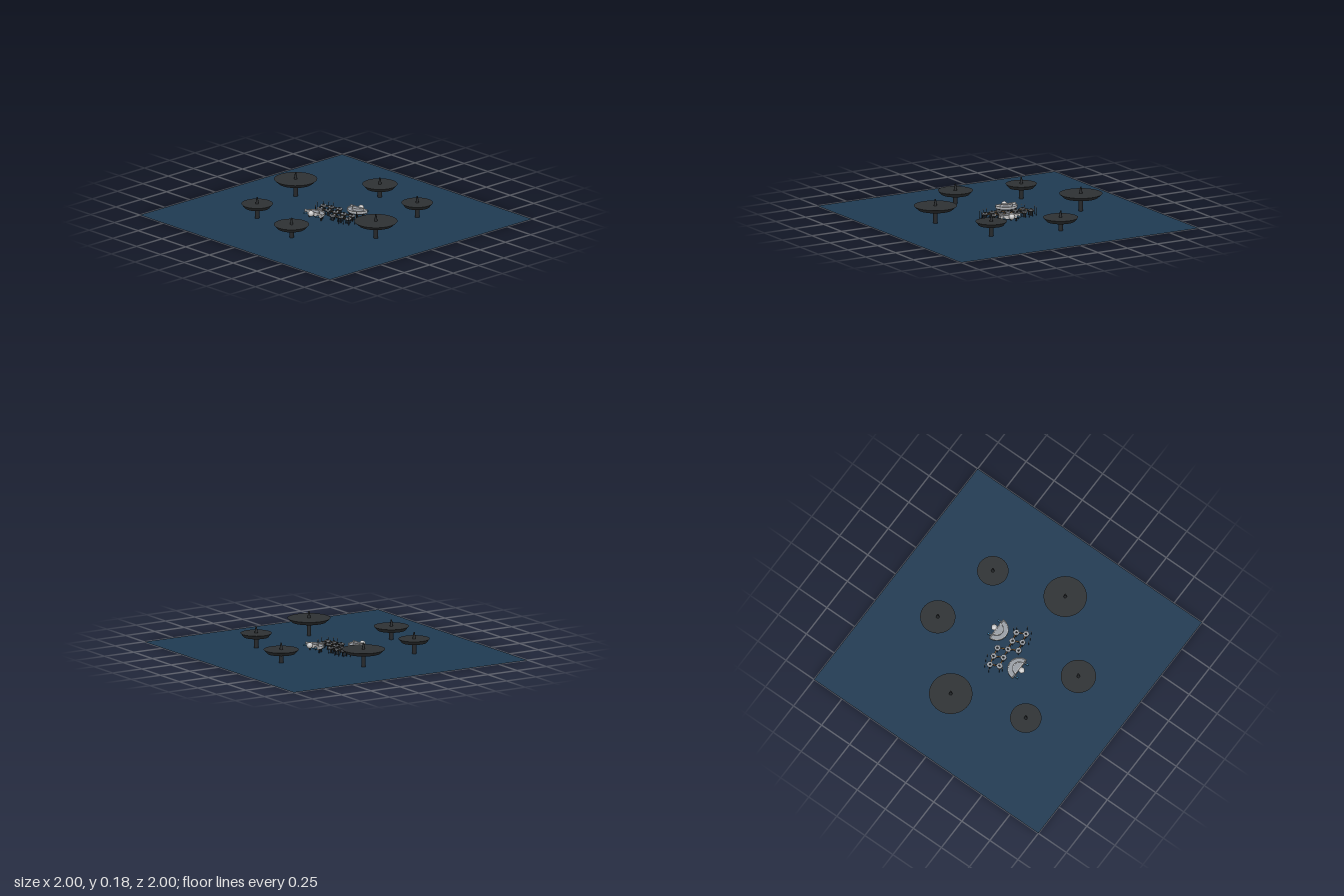
import * as THREE from 'three';

const mat = (color, side = THREE.FrontSide) => new THREE.MeshStandardMaterial({ color, side });
const M = {
  water: mat(0x1f3a52, THREE.DoubleSide),
  dark: mat(0x2e3133),
  post: mat(0x24272a),
  deck: mat(0x9a9fa6),
  pale: mat(0xcccccc),
  trim: mat(0xa8743c),
  blue: mat(0x3a78a0),
};

function add(parent, name, geometry, material, x = 0, y = 0, z = 0) {
  const mesh = new THREE.Mesh(geometry, material);
  mesh.name = name;
  mesh.position.set(x, y, z);
  parent.add(mesh);
  return mesh;
}

// Cylinder whose base sits at y
function column(parent, name, rTop, rBottom, y, height, sides, material, x = 0, z = 0) {
  return add(parent, name, new THREE.CylinderGeometry(rTop, rBottom, height, sides), material, x, y + height / 2, z);
}

// Broad dish tower: stem, bevelled disc and short tapered mast
function dishTower(x, z, radius, top) {
  const g = new THREE.Group();
  g.name = 'dishTower';
  g.position.set(x, 0, z);
  column(g, 'stem', 0.016, 0.016, 0, top - 0.02, 20, M.post);
  column(g, 'dish', radius, radius * 0.8, top - 0.028, 0.028, 48, M.dark);
  column(g, 'mast', 0.006, 0.012, top, 0.04, 12, M.post);
  add(g, 'mastTip', new THREE.SphereGeometry(0.006, 12, 8), M.post, 0, top + 0.044, 0);
  return g;
}

// Small hexagonal platform on legs
function hexPad(x, z) {
  const g = new THREE.Group();
  g.name = 'hexPad';
  g.position.set(x, 0, z);
  column(g, 'leg', 0.008, 0.008, 0, 0.03, 10, M.post);
  for (let i = 0; i < 3; i++) {
    const a = i * Math.PI * 2 / 3;
    column(g, 'sideLeg', 0.003, 0.003, 0, 0.03, 6, M.post, 0.018 * Math.cos(a), 0.018 * Math.sin(a));
  }
  column(g, 'padBase', 0.025, 0.022, 0.028, 0.008, 6, M.dark);
  column(g, 'padTop', 0.024, 0.024, 0.036, 0.006, 6, M.deck);
  column(g, 'hub', 0.006, 0.008, 0.042, 0.008, 8, M.dark);
  return g;
}

// Half-round slab bulging to +x, its base at y
function halfDisc(parent, name, radius, y, height, material, inner = 0) {
  const s = new THREE.Shape();
  s.absarc(0, 0, radius, -Math.PI / 2, Math.PI / 2, false);
  if (inner) s.absarc(0, 0, inner, Math.PI / 2, -Math.PI / 2, true);
  s.closePath();
  const geo = new THREE.ExtrudeGeometry(s, { depth: height, bevelEnabled: false, curveSegments: 24 });
  geo.rotateX(-Math.PI / 2);
  return add(parent, name, geo, material, 0, y, 0);
}

// Half-round terrace with a domed tank and two blue docks behind
function terrace() {
  const g = new THREE.Group();
  g.name = 'terrace';
  halfDisc(g, 'terraceBase', 0.08, 0.026, 0.008, M.dark);
  halfDisc(g, 'terraceDeck', 0.085, 0.034, 0.008, M.deck);
  halfDisc(g, 'terraceRim', 0.085, 0.042, 0.008, M.pale, 0.08);
  halfDisc(g, 'innerStep', 0.05, 0.042, 0.012, M.deck);
  halfDisc(g, 'innerRim', 0.05, 0.054, 0.006, M.pale, 0.045);
  add(g, 'backWall', new THREE.BoxGeometry(0.006, 0.028, 0.17), M.pale, -0.001, 0.045, 0);
  for (let i = 0; i < 5; i++) {
    const a = (i - 2) * Math.PI / 5;
    column(g, 'terraceLeg', 0.005, 0.005, 0, 0.028, 8, M.post, 0.065 * Math.cos(a), 0.065 * Math.sin(a));
  }
  add(g, 'tank', new THREE.SphereGeometry(0.022, 24, 16), M.pale, -0.022, 0.048, 0);
  for (const s of [-1, 1]) {
    add(g, 'dock', new THREE.BoxGeometry(0.034, 0.008, 0.012), M.blue, -0.018, 0.038, s * 0.062);
    add(g, 'dockArm', new THREE.BoxGeometry(0.02, 0.008, 0.006), M.deck, -0.01, 0.046, s * 0.062);
  }
  return g;
}

// Footbridge with low side rails between two pads
function bridge(a, b) {
  const g = new THREE.Group();
  g.name = 'bridge';
  const dx = b[0] - a[0], dz = b[1] - a[1], length = Math.hypot(dx, dz) - 0.042;
  g.position.set((a[0] + b[0]) / 2, 0.036, (a[1] + b[1]) / 2);
  g.rotation.y = Math.atan2(-dz, dx);
  add(g, 'walkway', new THREE.BoxGeometry(length, 0.004, 0.008), M.trim);
  for (const s of [-1, 1])
    add(g, 'rail', new THREE.BoxGeometry(length, 0.006, 0.0015), M.dark, 0, 0.004, s * 0.004);
  return g;
}

export function createModel() {
  const model = new THREE.Group();
  model.name = 'floatingSettlement';

  // Water sheet
  add(model, 'water', new THREE.PlaneGeometry(2, 2).rotateX(-Math.PI / 2), M.water);

  // Ring of dish towers: x, z, radius, disc top
  const towers = [
    [0.113, -0.545, 0.156, 0.13], [-0.43, -0.372, 0.113, 0.11], [0.542, -0.115, 0.127, 0.098],
    [-0.545, 0.113, 0.127, 0.098], [-0.115, 0.542, 0.156, 0.13], [0.427, 0.4, 0.113, 0.11],
  ];
  for (const t of towers) model.add(dishTower(...t));

  // Pads, half of them given and the rest turned about the centre
  const half = [[-0.027, -0.139], [0.037, -0.171], [0.053, -0.104], [-0.012, -0.07], [0.067, -0.036]];
  const pads = [[0, 0], ...half, ...half.map(([x, z]) => [-x, -z])];
  pads.forEach((p, i) => {
    model.add(hexPad(...p));
    for (const q of pads.slice(i + 1))
      if (Math.hypot(p[0] - q[0], p[1] - q[1]) < 0.08) model.add(bridge(p, q));
  });

  // Terraces and mooring poles on both sides
  const poles = [[0.016, -0.215], [0.08, -0.16], [0.092, -0.125], [-0.06, -0.15], [-0.045, -0.17], [0.06, -0.2]];
  for (const s of [-1, 1]) {
    const t = terrace();
    t.position.set(s * 0.155, 0, s * 0.075);
    t.rotation.y = s > 0 ? Math.PI : 0;
    model.add(t);
    for (const [x, z] of poles) {
      column(model, 'mooringPole', 0.002, 0.002, 0, 0.058, 6, M.post, s * x, s * z);
      add(model, 'poleLamp', new THREE.SphereGeometry(0.004, 8, 6), M.pale, s * x, 0.06, s * z);
    }
  }
  return model;
}
